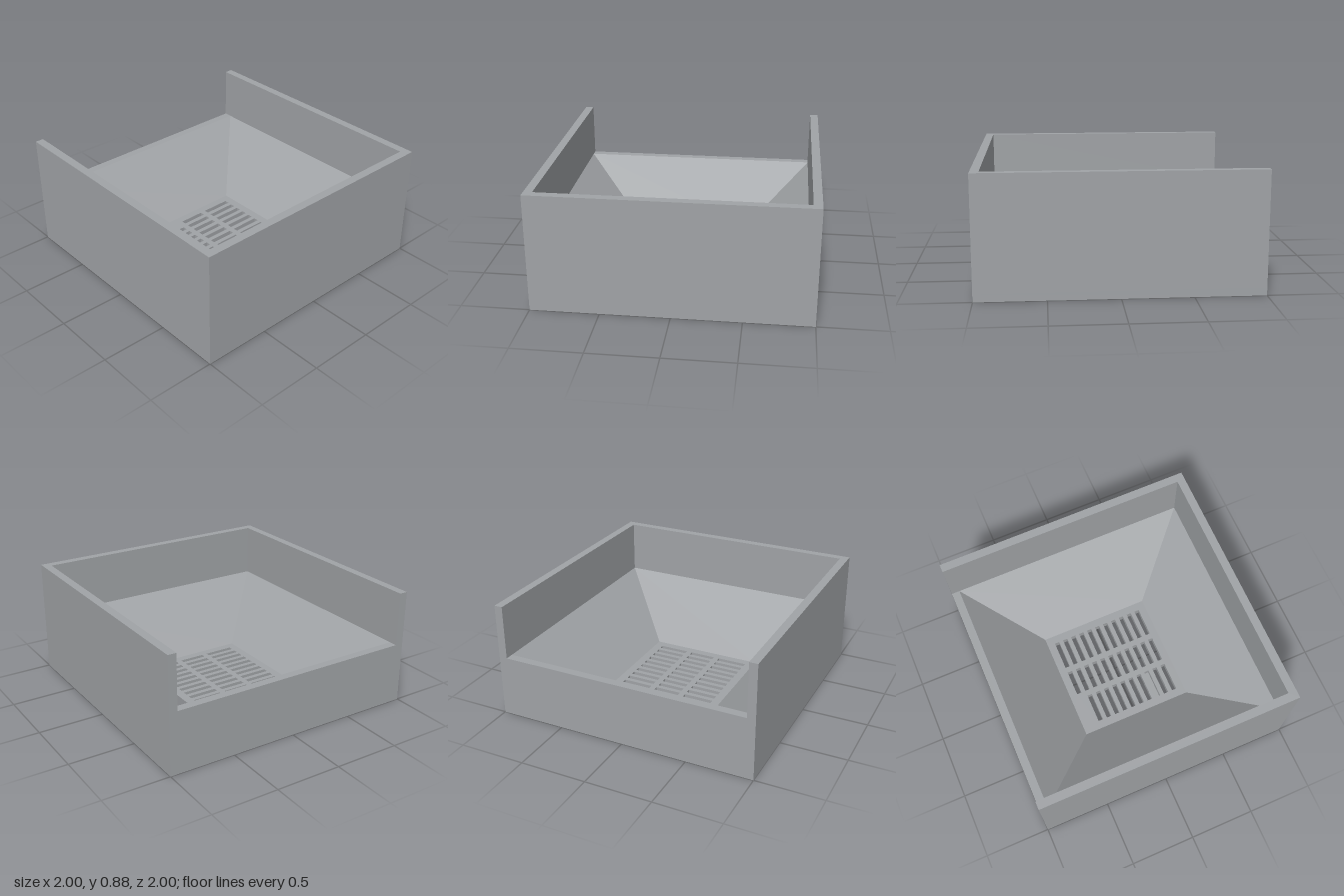
import * as THREE from 'three';

const HEIGHT = 0.875, RIM = 0.467, FLOOR = 0.058;
const INNER = 0.9375, WELL = 0.4375;
const SLOT_WIDTH = 0.037, PITCH = 0.0717;
const ROWS = [[-0.375, -0.145], [-0.1, 0.1], [0.145, 0.375]];

function polygon(points, Type = THREE.Shape) {
  return new Type(points.map(([x, z]) => new THREE.Vector2(x, -z)));
}

// Extrude an x/z outline upwards
function slab(shape, y, height) {
  const g = new THREE.ExtrudeGeometry(shape, { depth: height, bevelEnabled: false });
  return g.rotateX(-Math.PI / 2).translate(0, y, 0);
}

export function createModel() {
  const group = new THREE.Group();
  const grey = new THREE.MeshStandardMaterial({ color: 0xa0a3a6 });
  grey.name = 'grey';
  const add = (geometry, name) => {
    const mesh = new THREE.Mesh(geometry, grey);
    mesh.name = name;
    group.add(mesh);
  };

  // Base plate with three rows of drain slots; one slot is absent
  const base = polygon([[-1, -1], [-1, 1], [1, 1], [1, -1]]);
  ROWS.forEach(([z0, z1], row) => {
    for (let col = 0; col < 11; col++) {
      if (row === 2 && col === 0) continue;
      const x0 = (col - 5) * PITCH - SLOT_WIDTH / 2, x1 = x0 + SLOT_WIDTH;
      base.holes.push(polygon([[x0, z0], [x1, z0], [x1, z1], [x0, z1]], THREE.Path));
    }
  });
  add(slab(base, 0, FLOOR), 'slottedBase');

  // One slot is closed at the bottom
  const [z0, z1] = ROWS[2];
  const plug = new THREE.BoxGeometry(SLOT_WIDTH, 0.01, z1 - z0);
  add(plug.translate(3 * PITCH, 0.005, (z0 + z1) / 2), 'closedSlot');

  // Square hopper: outer sides, flat rim and sloping inner faces
  const profile = [[1, FLOOR], [1, RIM], [INNER, RIM], [WELL, FLOOR]]
    .map(([r, y]) => new THREE.Vector2(r * Math.SQRT2, y));
  const hopper = new THREE.LatheGeometry(profile, 4, Math.PI / 4).toNonIndexed();
  hopper.computeVertexNormals();
  add(hopper, 'hopper');

  // Upper wall on three sides, open at -x
  const wall = polygon([[-1, -1], [1, -1], [1, 1], [-1, 1],
    [-1, INNER], [INNER, INNER], [INNER, -INNER], [-1, -INNER]]);
  add(slab(wall, RIM, HEIGHT - RIM), 'upperWall');

  return group;
}
